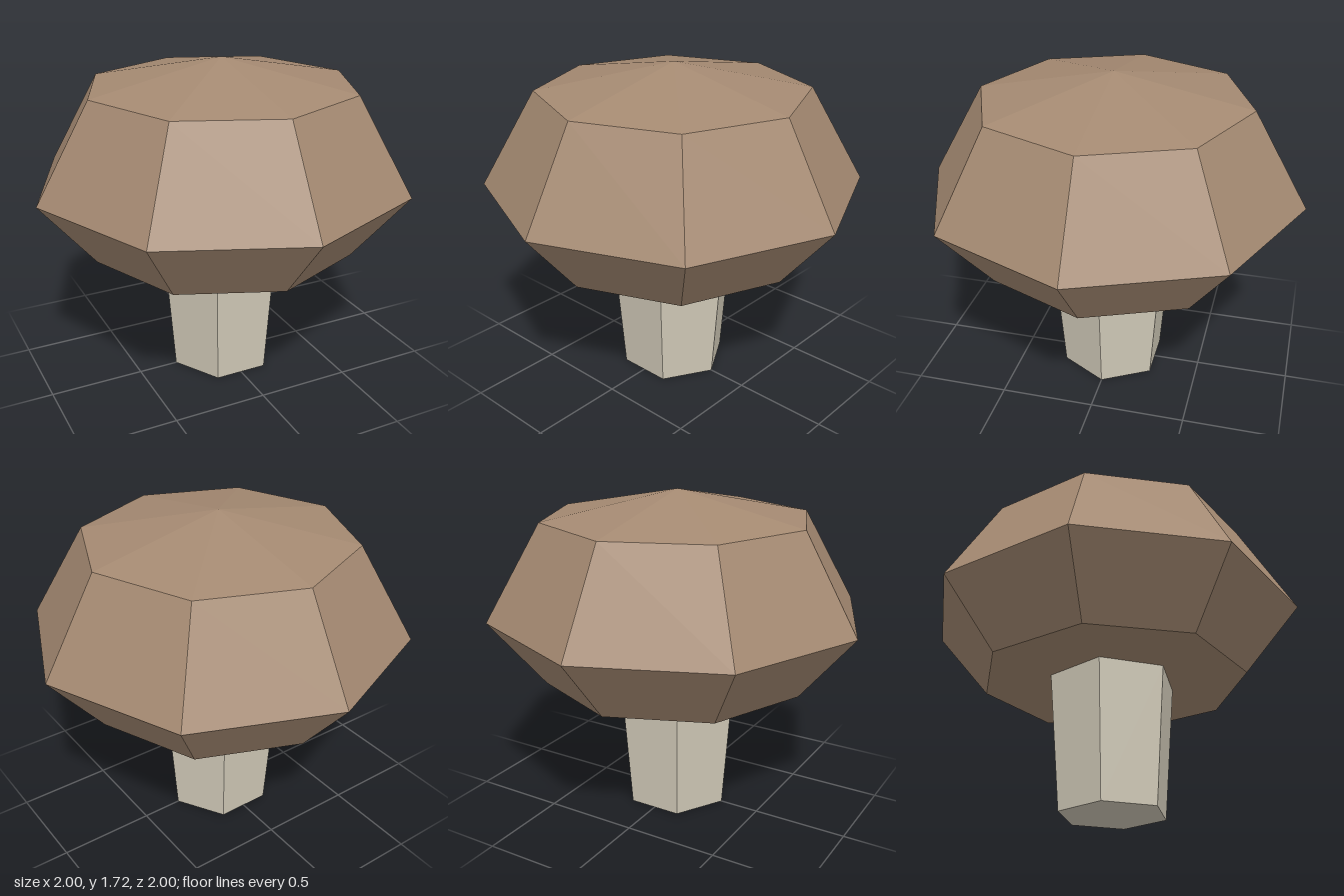
import * as THREE from 'three';

export function createModel() {
  const model = new THREE.Group();
  model.name = 'mushroom';

  const capBrown = new THREE.MeshStandardMaterial({ color: 0xa58a72, flatShading: true });
  capBrown.name = 'cap brown';
  const stemCream = new THREE.MeshStandardMaterial({ color: 0xd2cbb9, flatShading: true });
  stemCream.name = 'stem cream';

  // Eight-sided faceted cap: flat underside, flared rim, shallow peak
  const profile = [[0, 0.72], [0.71, 0.72], [1, 1.073], [0.71, 1.573], [0, 1.715]]
    .map(([r, y]) => new THREE.Vector2(r, y));
  const cap = new THREE.Mesh(new THREE.LatheGeometry(profile, 8), capBrown);
  cap.name = 'cap';
  model.add(cap);

  // Six-sided stem, widening upward, with corners on the x axis
  const stemHeight = 0.72;
  const stemGeometry = new THREE.CylinderGeometry(0.342, 0.285, stemHeight, 6);
  stemGeometry.rotateY(Math.PI / 6);
  stemGeometry.translate(0, stemHeight / 2, 0);
  const stem = new THREE.Mesh(stemGeometry, stemCream);
  stem.name = 'stem';
  model.add(stem);

  return model;
}
